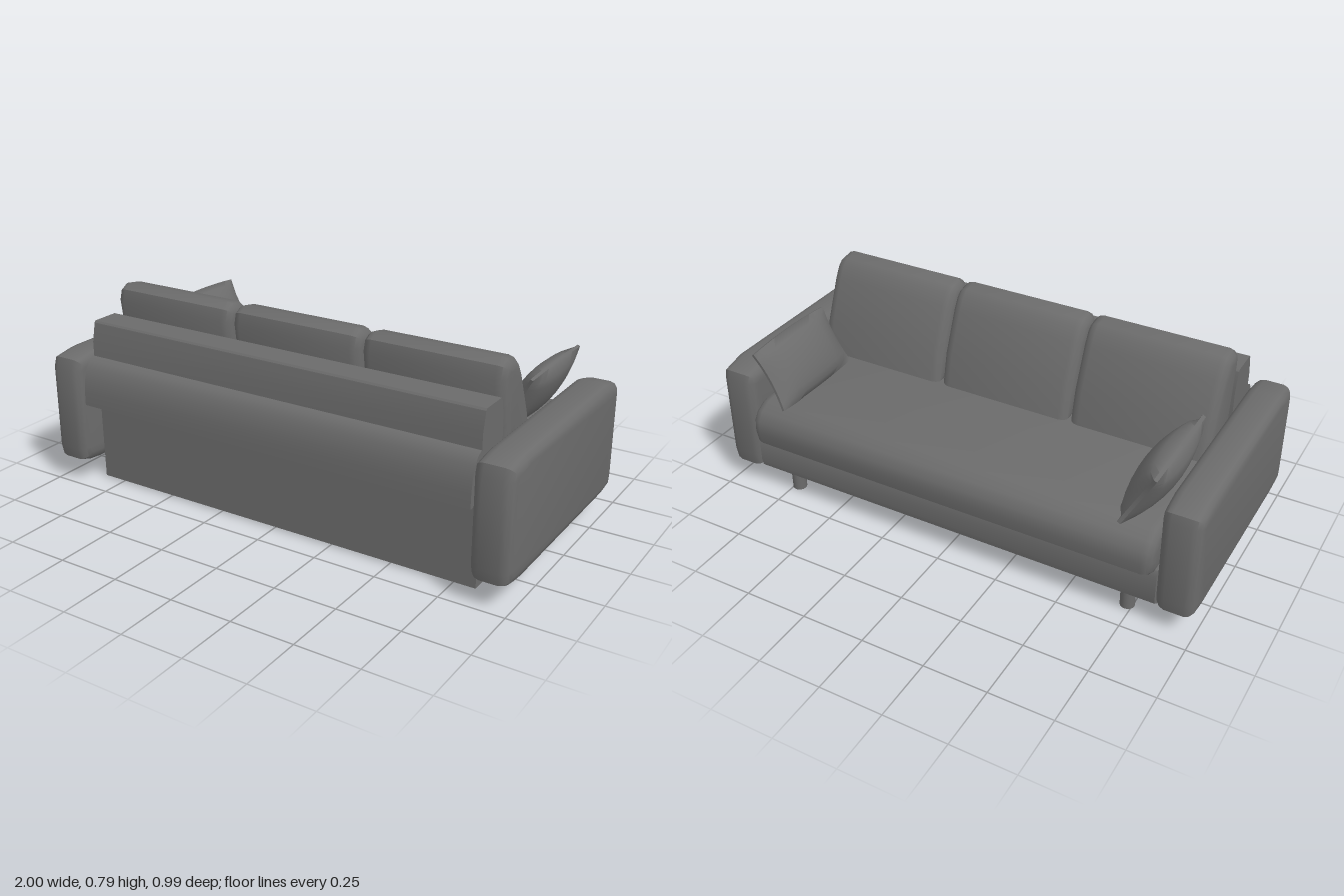
import * as THREE from 'three';
import { toCreasedNormals } from 'three/addons/utils/BufferGeometryUtils.js';

const material = new THREE.MeshStandardMaterial({ color: 0x6b6b6b });

// Side profile of [z, y] points, extruded across x from x0 to x1 with rounded ends.
function profile(name, points, x0, x1, bevel = 0, creaseAngle = 0.7) {
  const shape = new THREE.Shape(points.map(([z, y]) => new THREE.Vector2(z, y)));
  const width = x1 - x0;
  let geometry = new THREE.ExtrudeGeometry(shape, {
    depth: width - 2 * bevel,
    bevelEnabled: bevel > 0,
    bevelThickness: bevel,
    bevelSize: bevel,
    bevelOffset: -bevel,
    bevelSegments: 3,
  });
  geometry.translate(0, 0, -(width - 2 * bevel) / 2);
  geometry.rotateY(-Math.PI / 2);
  geometry.translate((x0 + x1) / 2, 0, 0);
  geometry = toCreasedNormals(geometry, creaseAngle);
  const mesh = new THREE.Mesh(geometry, material);
  mesh.name = name;
  return mesh;
}

// Square pillow: thick in the middle, thin at the rim, gently bowed along the top and bottom.
function pillow(name, length, height, thickness) {
  let geometry = new THREE.BoxGeometry(2, 2, 2, 1, 10, 10);
  const p = geometry.attributes.position;
  for (let i = 0; i < p.count; i++) {
    const v = p.getY(i), w = p.getZ(i);
    const puff = 0.1 + 0.9 * Math.sqrt((1 - v * v) * (1 - w * w));
    p.setXYZ(i,
      p.getX(i) * puff * thickness / 2,
      v * (1 - 0.07 * w * w) * height / 2,
      w * (1 - 0.06 * (1 - v * v)) * length / 2);
  }
  geometry = toCreasedNormals(geometry, 0.8);
  const mesh = new THREE.Mesh(geometry, material);
  mesh.name = name;
  return mesh;
}

export function createModel() {
  const sofa = new THREE.Group();
  sofa.name = 'sofa';

  // Base frame under the seat, with a rounded lower front edge
  sofa.add(profile('baseFrame', [
    [-0.45, 0.13], [-0.445, 0.105], [-0.42, 0.087], [0.3, 0.085], [0.3, 0.25],
    [-0.44, 0.25], [-0.45, 0.23],
  ], -0.855, 0.855));

  // One long seat cushion with a rounded front edge
  sofa.add(profile('seatCushion', [
    [-0.455, 0.23], [-0.485, 0.25], [-0.495, 0.30], [-0.49, 0.35], [-0.465, 0.385],
    [-0.42, 0.41], [-0.34, 0.42], [0.05, 0.415], [0.25, 0.41], [0.25, 0.23],
  ], -0.848, 0.848, 0.04));

  // Three leaning back cushions
  const backProfile = [
    [0.0, 0.40], [0.03, 0.545], [0.1, 0.71], [0.128, 0.757], [0.155, 0.78], [0.21, 0.789],
    [0.245, 0.768], [0.258, 0.72], [0.235, 0.545], [0.22, 0.40],
  ];
  for (let i = -1; i <= 1; i++) {
    sofa.add(profile('backCushion', backProfile, i * 0.567 - 0.281, i * 0.567 + 0.281, 0.04));
  }

  // Rear panel reaching almost to the floor
  sofa.add(profile('rearPanel', [
    [0.265, 0.007], [0.393, 0.007], [0.395, 0.40], [0.265, 0.40],
  ], -0.84, 0.84));

  // Bolster along the top of the back, tapered at the top
  sofa.add(profile('backBolster', [
    [0.25, 0.38], [0.407, 0.38], [0.407, 0.59], [0.391, 0.665], [0.385, 0.672],
    [0.275, 0.672], [0.268, 0.665], [0.25, 0.59],
  ], -0.845, 0.845, 0, 0.4));

  // Sloping padded band across the rear
  sofa.add(profile('rearBand', [
    [0.39, 0.345], [0.475, 0.345], [0.474, 0.40], [0.468, 0.45], [0.453, 0.495],
    [0.435, 0.52], [0.412, 0.532], [0.39, 0.532],
  ], -0.845, 0.845, 0, 1));

  // Arms, front legs and side pillows, mirrored
  const armProfile = [
    [-0.36, 0.083], [0.38, 0.083], [0.45, 0.09], [0.485, 0.102], [0.496, 0.15],
    [0.496, 0.485], [0.482, 0.528], [0.40, 0.542], [0.36, 0.545], [-0.35, 0.545],
    [-0.41, 0.532], [-0.45, 0.52], [-0.46, 0.485], [-0.46, 0.15], [-0.45, 0.097],
  ];
  for (const side of [-1, 1]) {
    const label = side > 0 ? 'left' : 'right';
    const [x0, x1] = side > 0 ? [0.852, 1] : [-1, -0.852];
    sofa.add(profile(label + 'Arm', armProfile, x0, x1, 0.038));

    const leg = new THREE.Mesh(new THREE.CylinderGeometry(0.028, 0.028, 0.1, 16), material);
    leg.name = label + 'FrontLeg';
    leg.position.set(side * 0.73, 0.05, -0.382);
    sofa.add(leg);

    // The right pillow is plumper than the left one
    const cushion = pillow(label + 'Pillow', 0.44, 0.265, side > 0 ? 0.11 : 0.14);
    cushion.position.set(side * 0.765, 0.525, -0.24);
    cushion.rotation.z = -side * 0.5;
    sofa.add(cushion);
  }
  return sofa;
}
